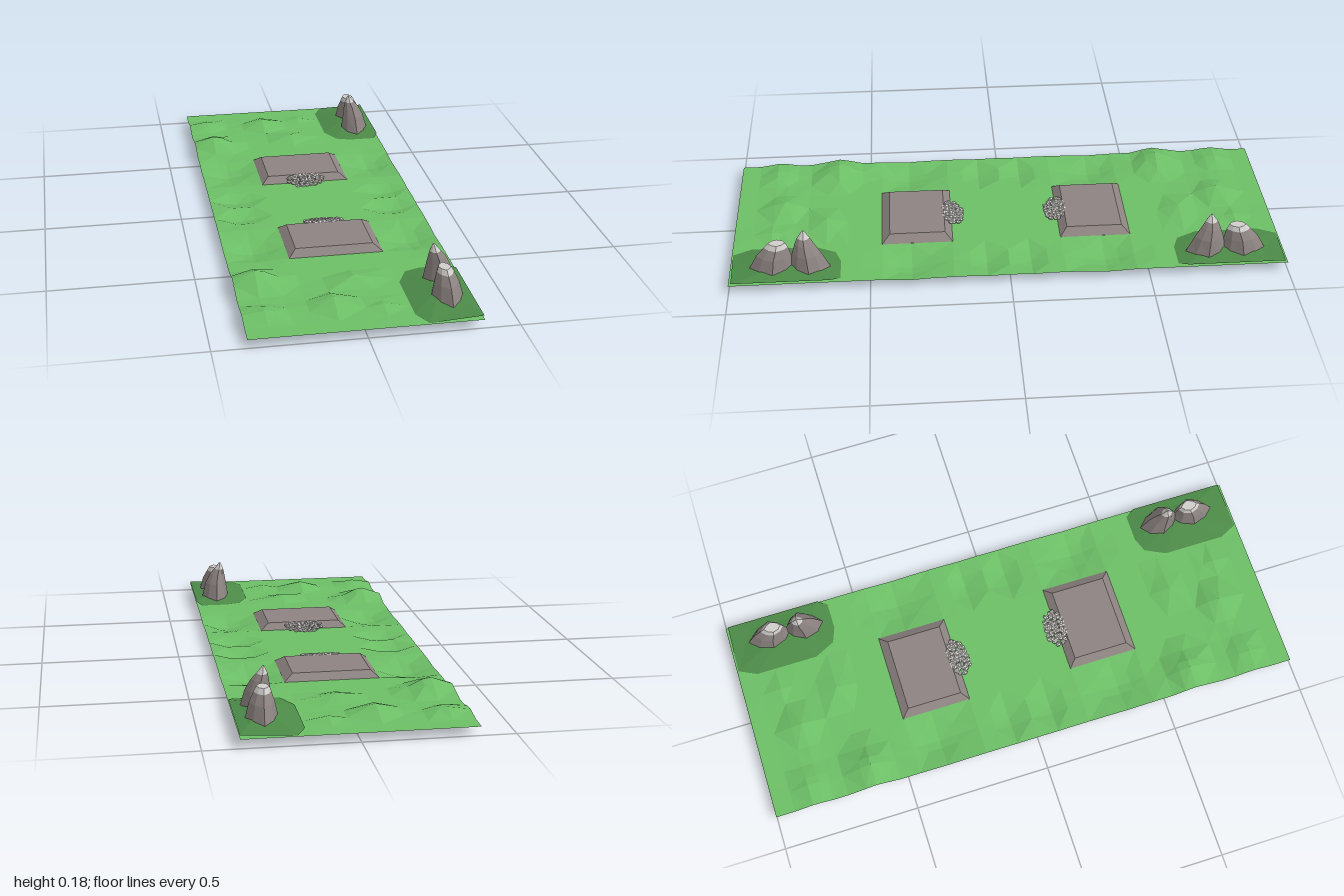
import * as THREE from 'three';

const mat = (name, color) => {
  const m = new THREE.MeshStandardMaterial({ color, flatShading: true, side: THREE.DoubleSide });
  m.name = name;
  return m;
};

// Mirrors a list of positive stops around zero
const mirrored = (a) => [...a.map((v) => -v).reverse(), 0, ...a];

// Small repeatable random generator
function seeded(seed) {
  return () => {
    seed = (seed * 16807) % 2147483647;
    return seed / 2147483647;
  };
}

const BASE = 0.03;

// Hills and hollows: x, |z|, height, x radius, z radius
const BUMPS = [
  [-0.31, 0.62, 0.047, 0.14, 0.11], [-0.08, 0.82, 0.033, 0.12, 0.11],
  [-0.32, 0.85, 0.024, 0.13, 0.09], [0.02, 0.66, 0.022, 0.12, 0.09],
  [0.08, 0.87, 0.014, 0.09, 0.08], [-0.28, 0.35, -0.03, 0.14, 0.15],
  [0.28, 0.35, -0.03, 0.14, 0.15], [-0.28, 0.08, -0.022, 0.13, 0.08],
  [0.28, 0.08, -0.022, 0.13, 0.08],
];

function groundHeight(x, z) {
  let y = BASE;
  for (const [bx, bz, h, rx, rz] of BUMPS) {
    const d = Math.hypot((x - bx) / rx, (Math.abs(z) - bz) / rz);
    if (d < 1) y += h * (0.5 + 0.5 * Math.cos(Math.PI * d));
  }
  return Math.max(0, y);
}

// Low-poly sheet with an opening below each platform
function groundGeometry() {
  const xs = [-0.385, -0.31, -0.28, -0.23, -0.165, -0.08, 0.02, 0.08, 0.165, 0.23, 0.28, 0.32, 0.38];
  const zs = mirrored([0.08, 0.14, 0.2, 0.28, 0.35, 0.4, 0.455, 0.53, 0.58, 0.62, 0.66, 0.73, 0.78, 0.82, 0.86, 0.93, 1]);
  const pos = [];
  const index = [];
  for (const z of zs) for (const x of xs) pos.push(x, groundHeight(x, z), z);
  const n = xs.length;
  for (let j = 0; j < zs.length - 1; j++) {
    for (let i = 0; i < n - 1; i++) {
      const cx = (xs[i] + xs[i + 1]) / 2;
      const cz = Math.abs(zs[j] + zs[j + 1]) / 2;
      if (Math.abs(cx) < 0.165 && cz > 0.2 && cz < 0.455) continue;
      const a = j * n + i, b = a + 1, c = a + n, d = c + 1;
      if ((i + j) % 2) index.push(a, c, b, b, c, d);
      else index.push(a, c, d, a, d, b);
    }
  }
  const g = new THREE.BufferGeometry();
  g.setAttribute('position', new THREE.Float32BufferAttribute(pos, 3));
  g.setIndex(index);
  g.computeVertexNormals();
  return g;
}

// Builds a surface through equal-length rings of [x, y, z], with a closed last ring
function loft(rings) {
  const n = rings[0].length;
  const index = [];
  for (let r = 0; r < rings.length - 1; r++) {
    for (let i = 0; i < n; i++) {
      const a = r * n + i, b = r * n + ((i + 1) % n);
      index.push(a, a + n, b, b, a + n, b + n);
    }
  }
  const top = (rings.length - 1) * n;
  for (let i = 1; i < n - 1; i++) index.push(top, top + i + 1, top + i);
  const g = new THREE.BufferGeometry();
  g.setAttribute('position', new THREE.Float32BufferAttribute(rings.flat(2), 3));
  g.setIndex(index);
  g.computeVertexNormals();
  return g;
}

// Flips winding for surfaces placed on the back half
function mirrorZ(g) {
  g.scale(1, 1, -1);
  const ix = g.index.array;
  for (let i = 0; i < ix.length; i += 3) [ix[i], ix[i + 1]] = [ix[i + 1], ix[i]];
  g.computeVertexNormals();
  return g;
}

// Uneven eight-sided ring of a peak at height y
const WOBBLE = [1, 0.88, 1.04, 0.9, 1, 0.94, 1.02, 0.86];
const peakRing = (cx, cz, rx, rz, y) => WOBBLE.map((w, i) => {
  const a = (i / 8) * Math.PI * 2;
  return [cx + Math.cos(a) * rx * w, y, cz + Math.sin(a) * rz * w];
});

// Chamfered platform outlines
const rectRing = (x0, x1, z0, z1, y) => [[x0, y, z0], [x1, y, z0], [x1, y, z1], [x0, y, z1]];

export function createModel() {
  const grass = mat('grass green', 0x6cbe66);
  const darkGrass = mat('dark grass', 0x4c8a48);
  const stone = mat('stone grey', 0x8c8381);
  const snow = mat('pale stone', 0xd0cecb);

  const model = new THREE.Group();
  model.name = 'landscape';
  const add = (parent, name, geo, material) => {
    const m = new THREE.Mesh(geo, material);
    m.name = name;
    parent.add(m);
    return m;
  };

  add(model, 'ground', groundGeometry(), grass);

  for (const side of [1, -1]) {
    const half = new THREE.Group();
    half.name = side > 0 ? 'frontHalf' : 'backHalf';
    model.add(half);
    const place = (name, geo, material) => add(half, name, side > 0 ? geo : mirrorZ(geo), material);

    // Raised platform, open underneath
    place('platform', loft([
      rectRing(-0.167, 0.167, 0.198, 0.457, BASE),
      rectRing(-0.14, 0.135, 0.225, 0.428, 0.053),
    ]), stone);

    // Dark grassy mound below the peaks
    const rim = [[0.38, 0.99], [0.2, 0.995], [0.168, 0.93], [0.168, 0.7], [0.205, 0.625], [0.26, 0.605], [0.36, 0.605], [0.38, 0.64]];
    const shrink = (k, y) => rim.map(([x, z]) => [0.292 + (x - 0.292) * k, y, 0.79 + (z - 0.79) * k]).reverse();
    const outer = rim.map(([x, z]) => [x, (x > 0.37 ? 0.04 : groundHeight(x, z) + 0.002), z]).reverse();
    // Rings run clockwise from above so the faces point up
    place('mound', loft([outer.reverse(), shrink(0.6, 0.046).reverse(), shrink(0.25, 0.058).reverse()]), darkGrass);

    // Tall pointed peak with a pale tip
    const tallNeck = peakRing(0.279, 0.73, 0.019, 0.022, 0.155);
    place('tallPeak', loft([
      peakRing(0.297, 0.715, 0.056, 0.075, 0.035),
      peakRing(0.293, 0.722, 0.042, 0.05, 0.1),
      peakRing(0.286, 0.728, 0.03, 0.033, 0.135),
      tallNeck,
    ]), stone);
    place('tallPeakCap', loft([tallNeck, peakRing(0.274, 0.73, 0.003, 0.004, 0.181)]), snow);

    // Lower blunt peak with a pale top
    const lowNeck = peakRing(0.29, 0.828, 0.029, 0.042, 0.126);
    place('lowPeak', loft([
      peakRing(0.295, 0.845, 0.056, 0.085, 0.035),
      peakRing(0.293, 0.838, 0.042, 0.06, 0.095),
      lowNeck,
    ]), stone);
    place('lowPeakCap', loft([lowNeck, peakRing(0.288, 0.825, 0.021, 0.03, 0.143)]), snow);

    // Rubble ramp leaning on the inner platform edge
    const rubble = new THREE.Group();
    rubble.name = 'rubble';
    half.add(rubble);
    const rand = seeded(77);
    for (let row = 0; row < 6; row++) {
      const v = -0.85 + row * 0.34;
      const w = 0.07 * Math.sqrt(1 - v * v);
      const count = Math.max(4, Math.round(w / 0.0075));
      for (let i = 0; i < count; i++) {
        const x = -w + (2 * w * (i + 0.2 + 0.6 * rand())) / count;
        const z = 0.194 + 0.038 * v + (rand() - 0.5) * 0.006;
        const y = 0.032 + 0.018 * Math.min(1, (z - 0.152) / 0.06);
        const rock = add(rubble, 'rubbleStone', new THREE.DodecahedronGeometry(0.0105, 0), snow);
        rock.position.set(x, y, z * side);
        rock.rotation.set(0, rand() * 3, 0);
        rock.scale.set(1, 0.55, 0.85);
      }
    }
  }
  return model;
}
